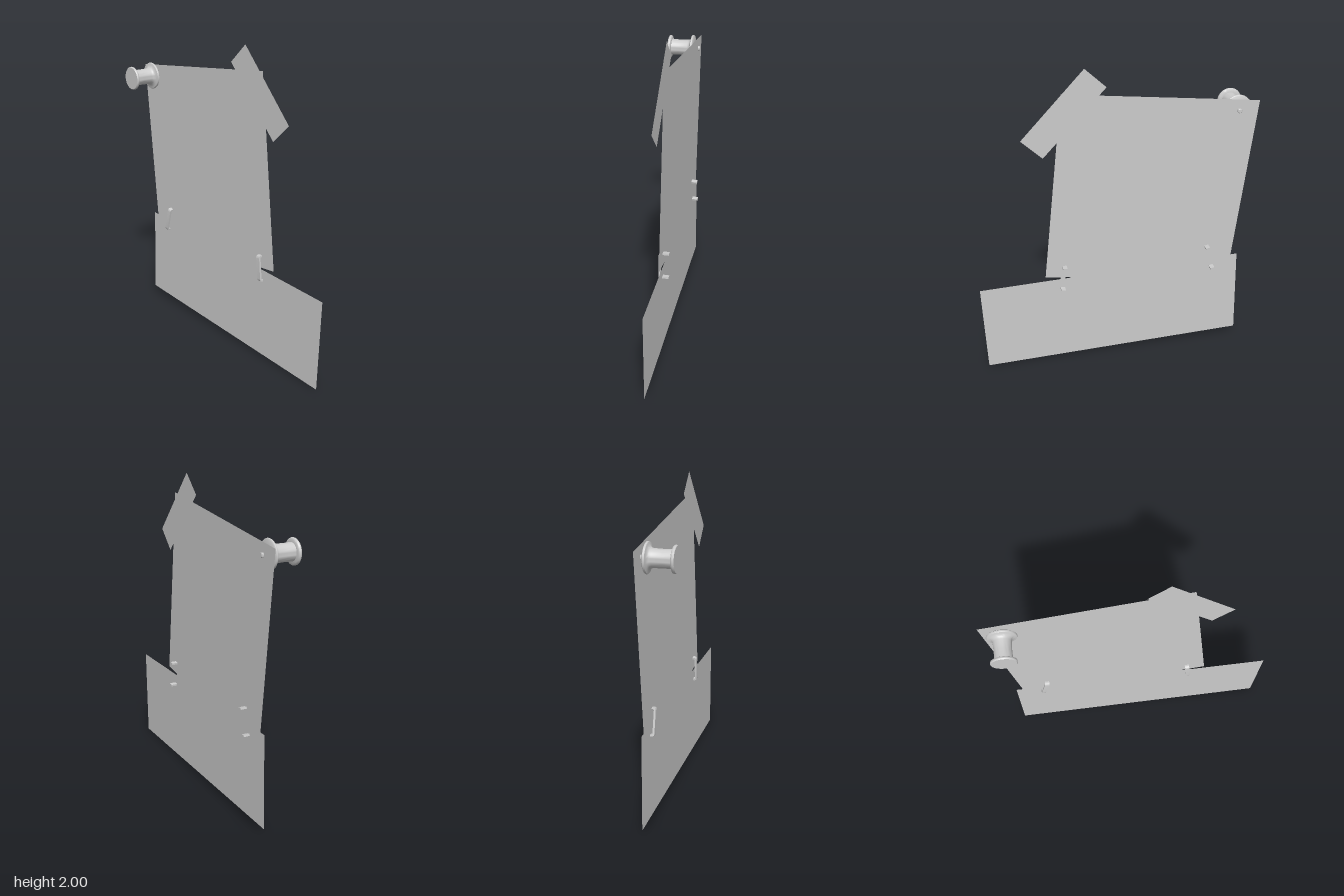
import * as THREE from 'three';
import { toCreasedNormals } from 'three/addons/utils/BufferGeometryUtils.js';

const grey = new THREE.MeshStandardMaterial({ color: 0xcccccc });
const greySheet = new THREE.MeshStandardMaterial({ color: 0xcccccc, side: THREE.DoubleSide });

// Flat sheet cut from an outline in x and y
function sheet(name, corners, z) {
  const shape = new THREE.Shape(corners.map(([x, y]) => new THREE.Vector2(x, y)));
  const mesh = new THREE.Mesh(new THREE.ShapeGeometry(shape), greySheet);
  mesh.name = name;
  mesh.position.z = z;
  return mesh;
}

// Bent wire: a U with rounded corners, its legs pointing to the back
function staple(name, top, bottom) {
  const width = 0.028, t = 0.012, r = 0.018;
  const front = -0.055, back = -0.12;
  const h = Math.hypot(top[0] - bottom[0], top[1] - bottom[1]) / 2;
  const s = new THREE.Shape();
  s.moveTo(-h, back);
  s.lineTo(-h + t, back);
  s.lineTo(-h + t, front - r);
  s.quadraticCurveTo(-h + t, front - t, -h + r, front - t);
  s.lineTo(h - r, front - t);
  s.quadraticCurveTo(h - t, front - t, h - t, front - r);
  s.lineTo(h - t, back);
  s.lineTo(h, back);
  s.lineTo(h, front - r);
  s.quadraticCurveTo(h, front, h - r, front);
  s.lineTo(-h + r, front);
  s.quadraticCurveTo(-h, front, -h, front - r);
  const geo = new THREE.ExtrudeGeometry(s, { depth: width, bevelEnabled: false, curveSegments: 6 });
  geo.translate(0, 0, -width / 2);
  // shape x runs up, shape y runs forward, the extrusion runs sideways
  geo.applyMatrix4(new THREE.Matrix4().makeBasis(
    new THREE.Vector3(0, 1, 0), new THREE.Vector3(0, 0, 1), new THREE.Vector3(1, 0, 0)));
  const mesh = new THREE.Mesh(toCreasedNormals(geo, 0.7), grey);
  mesh.name = name;
  mesh.position.set((top[0] + bottom[0]) / 2, (top[1] + bottom[1]) / 2, 0);
  mesh.rotation.z = -Math.atan2(top[0] - bottom[0], top[1] - bottom[1]);
  return mesh;
}

// Push pin turned from one profile of [radius, z]
function pushPin() {
  const profile = [
    [0, -0.093], [0.011, -0.093], [0.014, -0.09], [0.014, -0.052],
    [0.08, -0.052], [0.087, -0.047], [0.088, -0.042], [0.085, -0.036], [0.075, -0.033],
    [0.062, -0.029], [0.056, -0.022], [0.053, -0.01], [0.051, 0.05], [0.053, 0.098],
    [0.068, 0.1], [0.075, 0.104], [0.077, 0.11], [0.076, 0.116], [0.072, 0.12], [0, 0.12],
  ].map(([r, z]) => new THREE.Vector2(r, z));
  const geo = toCreasedNormals(new THREE.LatheGeometry(profile, 40), 0.75);
  const mesh = new THREE.Mesh(geo, grey);
  mesh.name = 'pushPin';
  mesh.rotation.x = Math.PI / 2;
  mesh.position.set(-0.763, 1.674, 0);
  return mesh;
}

export function createModel() {
  const group = new THREE.Group();

  // Upper note and lower strip in one plane, with a thin notch between them on one side
  group.add(sheet('paperNote', [
    [-0.84, 0.06], [0.868, 0.003], [0.885, 0.597], [0.31, 0.618],
    [0.305, 0.622], [0.465, 0.64], [0.33, 1.862], [-0.89, 1.731],
    [-0.777, 0.652], [-0.82, 0.655],
  ], -0.08));

  // Tape across the corner, just in front of the paper
  group.add(sheet('tape', [
    [0.058, 1.88], [0.447, 1.465], [0.575, 1.587], [0.188, 2.0],
  ], -0.066));

  group.add(staple('rightStaple', [-0.603, 0.746], [-0.645, 0.578]));
  group.add(staple('leftStaple', [0.341, 0.713], [0.357, 0.541]));
  group.add(pushPin());
  return group;
}
